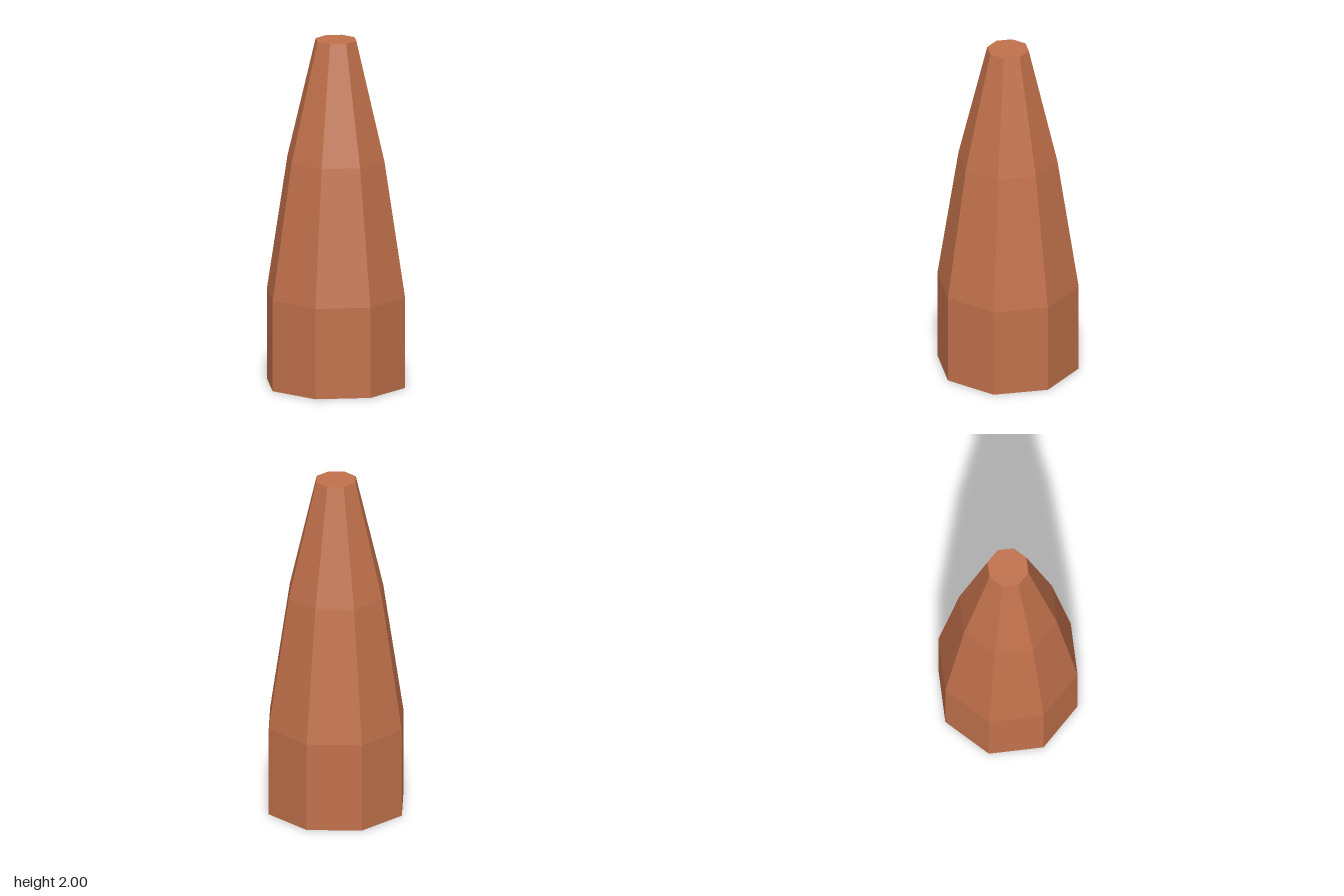
import * as THREE from 'three';

export function createModel() {
  const group = new THREE.Group();
  group.name = 'taperedSpike';

  // Closed eight-sided body: straight base, tapered middle, steeper tip, flat ends
  const profile = [
    [0, 0], [0.408, 0], [0.408, 0.525], [0.286, 1.31], [0.12, 2], [0, 2],
  ].map(([radius, y]) => new THREE.Vector2(radius, y));

  const material = new THREE.MeshStandardMaterial({ color: 0xc1714b, flatShading: true });
  const body = new THREE.Mesh(new THREE.LatheGeometry(profile, 8), material);
  body.name = 'body';
  group.add(body);

  return group;
}
